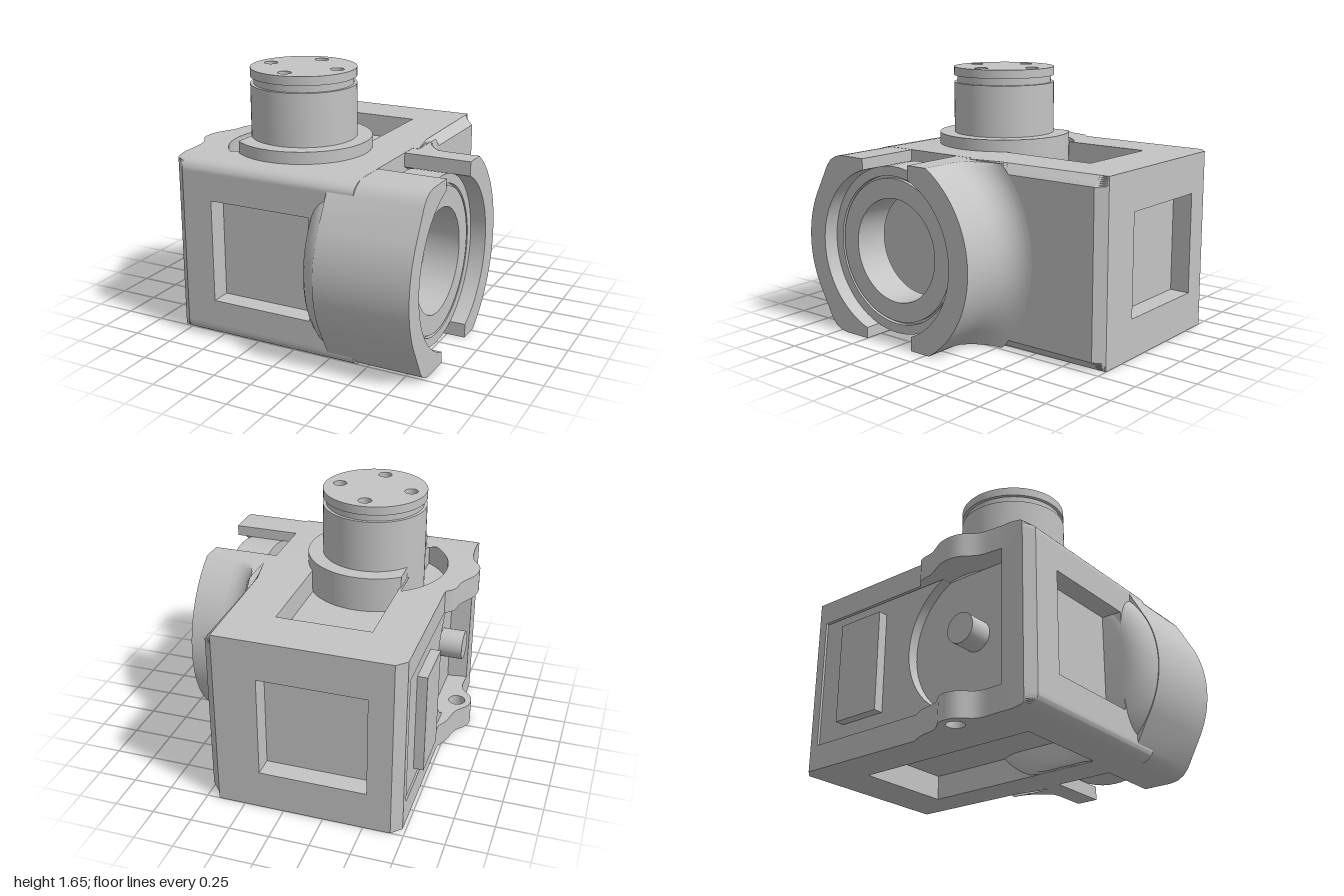
import * as THREE from 'three';
import { toCreasedNormals } from 'three/addons/utils/BufferGeometryUtils.js';

const H = 1.15;              // body height
const AX = { y: 0.575, z: 0.335 }; // axis of the side collar
const TX = -0.19, TZ = 0.247;      // axis of the top turret

export function createModel() {
  const model = new THREE.Group();
  const grey = new THREE.MeshStandardMaterial({ color: 0xc4c4c4, side: THREE.DoubleSide });
  grey.name = 'machined grey';

  const add = (name, geo, crease = 0.5) => {
    const mesh = new THREE.Mesh(toCreasedNormals(geo, crease), grey);
    mesh.name = name;
    model.add(mesh);
  };
  const moveVerts = (geo, rule) => {
    const p = geo.attributes.position, v = new THREE.Vector3();
    for (let i = 0; i < p.count; i++) {
      v.fromBufferAttribute(p, i);
      rule(v);
      p.setXYZ(i, v.x, v.y, v.z);
    }
    return geo;
  };

  // Plan shapes are given as [x, z] and extruded upwards
  const path = (pts) => pts.map(([x, z]) => new THREE.Vector2(x, -z));
  const rect = (x0, x1, z0, z1) => [[x0, z0], [x1, z0], [x1, z1], [x0, z1]];
  const arc = (cx, cz, r, a0, a1, n = 48) => Array.from({ length: n + 1 }, (_, i) => {
    const a = a0 + (a1 - a0) * i / n;
    return [cx + r * Math.cos(a), cz + r * Math.sin(a)];
  });
  const circle = (cx, cz, r, n = 32) => arc(cx, cz, r, 0, Math.PI * 2, n).slice(0, -1);
  const slab = (outline, holes, y0, y1, steps = 1) => {
    const s = new THREE.Shape(path(outline));
    holes.forEach((h) => s.holes.push(new THREE.Path(path(h))));
    return new THREE.ExtrudeGeometry(s, { depth: y1 - y0, steps, bevelEnabled: false })
      .rotateX(-Math.PI / 2).translate(0, y0, 0);
  };
  // Side shapes are given as [z, y] from the collar axis and extruded along x
  const sideSlab = (pts, x0, x1) => new THREE.ExtrudeGeometry(
    new THREE.Shape(pts.map(([w, y]) => new THREE.Vector2(-w, y))), { depth: x1 - x0, bevelEnabled: false })
    .rotateY(Math.PI / 2).translate(x0, AX.y, AX.z);

  // Body: stacked slabs, with recesses as holes or notches in the plan
  const ear = (pts) => new THREE.CatmullRomCurve3(pts.map(([x, z]) => new THREE.Vector3(x, 0, z)))
    .getPoints(30).map((p) => [p.x, p.z]);
  const topEar = ear([[-0.78, 0.62], [-0.8, 0.47], [-0.865, 0.36], [-0.865, 0.24], [-0.8, 0.1], [-0.78, 0], [-0.73, -0.05]]);
  const lowEar = ear([[-0.78, 0.62], [-0.785, 0.46], [-0.865, 0.36], [-0.87, 0.26], [-0.8, 0.16], [-0.77, 0.03], [-0.73, -0.05]]);
  const hollow = [[-0.78, 0.62], [-0.65, 0.6], [-0.65, -0.87], [-0.73, -0.88]];
  const plan = (left, notched) => [
    [-0.67, -1],
    ...(notched ? [[-0.52, -1], [-0.52, -0.87], [0.15, -0.87], [0.15, -1]] : []),
    [0.42, -1], [0.48, -0.94], [0.48, -0.3], [0.48, 0], [0.44, 0], [0.44, 0.82],
    ...(notched ? [[0.15, 0.82], [0.15, 0.69], [-0.52, 0.69], [-0.52, 0.82]] : []),
    [-0.72, 0.82], [-0.78, 0.77], ...left, [-0.73, -0.94],
  ];
  // Rounded front edge and chamfered right edge on the outer slabs
  const soften = (v) => {
    const d = Math.min(v.y, H - v.y);
    const t = Math.max(0, 1 - d / 0.075);
    v.z = Math.min(v.z, 0.82 - 0.13 * (1 - Math.sqrt(Math.max(0, 1 - t * t))));
    if (v.z < -0.29) v.x = Math.min(v.x, 0.48 - Math.max(0, 0.06 - d));
  };
  const chord = Math.acos((0.47 - 0.215) / 0.455);
  const crescent = arc(-0.215, TZ, 0.455, Math.PI - chord, Math.PI + chord, 24);
  add('bodyBottom', moveVerts(slab(plan(lowEar), [rect(-0.45, 0.2, -0.7, 0.55), circle(-0.78, 0.3, 0.055)],
    0, 0.16, 16), soften));
  add('bodyLower', slab(plan(hollow), [], 0.16, 0.25));
  add('bodyMiddle', slab(plan(hollow, true), [], 0.25, 0.9));
  add('bodyUpper', slab(plan(hollow), [], 0.9, 1));
  add('bodyTop', moveVerts(slab(plan(topEar), [rect(-0.45, 0.14, -0.68, 0.1), crescent], 1, H, 15), soften));

  // Left side: panel ending in a round recess, raised plate, and pin
  const recess = Math.asin(0.42 / 0.47);
  add('sidePanel', sideSlab([[-1.21, 0.42], ...arc(0, 0, 0.47, Math.PI - recess, Math.PI + recess, 32),
    [-1.21, -0.42]], -0.718, -0.645));
  add('sidePlate', new THREE.BoxGeometry(0.1, 0.65, 0.33).translate(-0.73, 0.575, -0.505));
  const sideDisc = (name, r, x0, x1) => add(name,
    new THREE.CylinderGeometry(r, r, x1 - x0, 48).rotateZ(Math.PI / 2).translate((x0 + x1) / 2, AX.y, AX.z));
  sideDisc('sidePin', 0.095, -0.8, -0.64);

  // Turret: trimmed flange, stem with groove, drilled cap
  const flangeCut = Math.acos((0.46 - 0.195) / 0.43);
  add('turretFlange', slab(arc(-0.195, TZ, 0.43, -Math.PI + flangeCut, Math.PI - flangeCut, 64), [], 0.99, 1.225));
  const stem = [[0, 1], [0.33, 1], [0.33, 1.555], [0.31, 1.555], [0.31, 1.6], [0, 1.6]];
  add('turretStem', new THREE.LatheGeometry(stem.map((p) => new THREE.Vector2(...p)), 64).translate(TX, 0, TZ));
  const bolts = [0, 1, 2, 3].map((i) =>
    circle(TX + 0.233 * Math.cos(i * Math.PI / 2), TZ + 0.233 * Math.sin(i * Math.PI / 2), 0.043, 20));
  add('turretCap', slab(circle(TX, TZ, 0.33, 64), bolts, 1.6, 1.655));

  // Turned parts about the collar axis, profile given as [radius, x]
  const turned = (name, pts, start = 0, len = Math.PI * 2) => add(name, moveVerts(
    new THREE.LatheGeometry(pts.map((p) => new THREE.Vector2(...p)), 72, start, len)
      .rotateZ(-Math.PI / 2).translate(0, AX.y, AX.z),
    (v) => { v.y = THREE.MathUtils.clamp(v.y, 0.001, H - 0.001); }), 0.6);

  // Bulge on the front with a rounded shoulder
  const shoulder = Array.from({ length: 9 }, (_, i) => {
    const t = i / 8 * Math.PI / 2;
    return [0.5 + 0.165 * Math.sin(t), 0.305 - 0.16 * Math.cos(t)];
  });
  turned('collarBulge', [[0, 0.145], ...shoulder, [0.665, 0.439], [0, 0.439]]);

  // Concave fillet between collar and the right wall
  const fillet = Array.from({ length: 11 }, (_, i) => {
    const t = i / 10 * Math.PI / 2;
    return [0.84 - 0.162 * Math.sin(t), 0.655 - 0.175 * Math.cos(t)];
  });
  turned('collarFillet', fillet, Math.PI * 0.65, Math.PI * 0.7);

  // Two collar jaws separated by the top and bottom slots
  const top = 0.574;
  const jaw = (name, side, gap, outer, x0) => {
    const b = Math.acos(gap / 0.53);
    const pts = [[gap, top], ...outer, [gap, -top], ...arc(0, 0, 0.53, -b, b)];
    add(name, sideSlab(pts.map(([w, y]) => [side * w, y]), x0, 0.87));
  };
  // the front jaw carries on the rounded front edge of the body
  const corner = [[0.355, top], [0.405, 0.565], [0.45, 0.54], [0.485, 0.5]];
  jaw('frontJaw', 1, 0.165, [...corner, ...arc(0, 0, 0.665, Math.PI / 6, -Math.PI / 6, 32),
    ...corner.map(([w, y]) => [w, -y]).reverse()], 0.27);
  const flat = Math.asin(top / 0.678);
  jaw('backJaw', -1, 0.215, arc(0, 0, 0.678, flat, -flat), 0.44);

  // Bearing ring with a fine groove, and the hub on the wall behind it
  turned('bearingRing', [[0.33, 0.54], [0.33, 0.77], [0.455, 0.77], [0.455, 0.745], [0.47, 0.745],
    [0.47, 0.77], [0.53, 0.77], [0.53, 0.54], [0.33, 0.54]]);
  sideDisc('innerHub', 0.1, 0.42, 0.442);

  return model;
}
